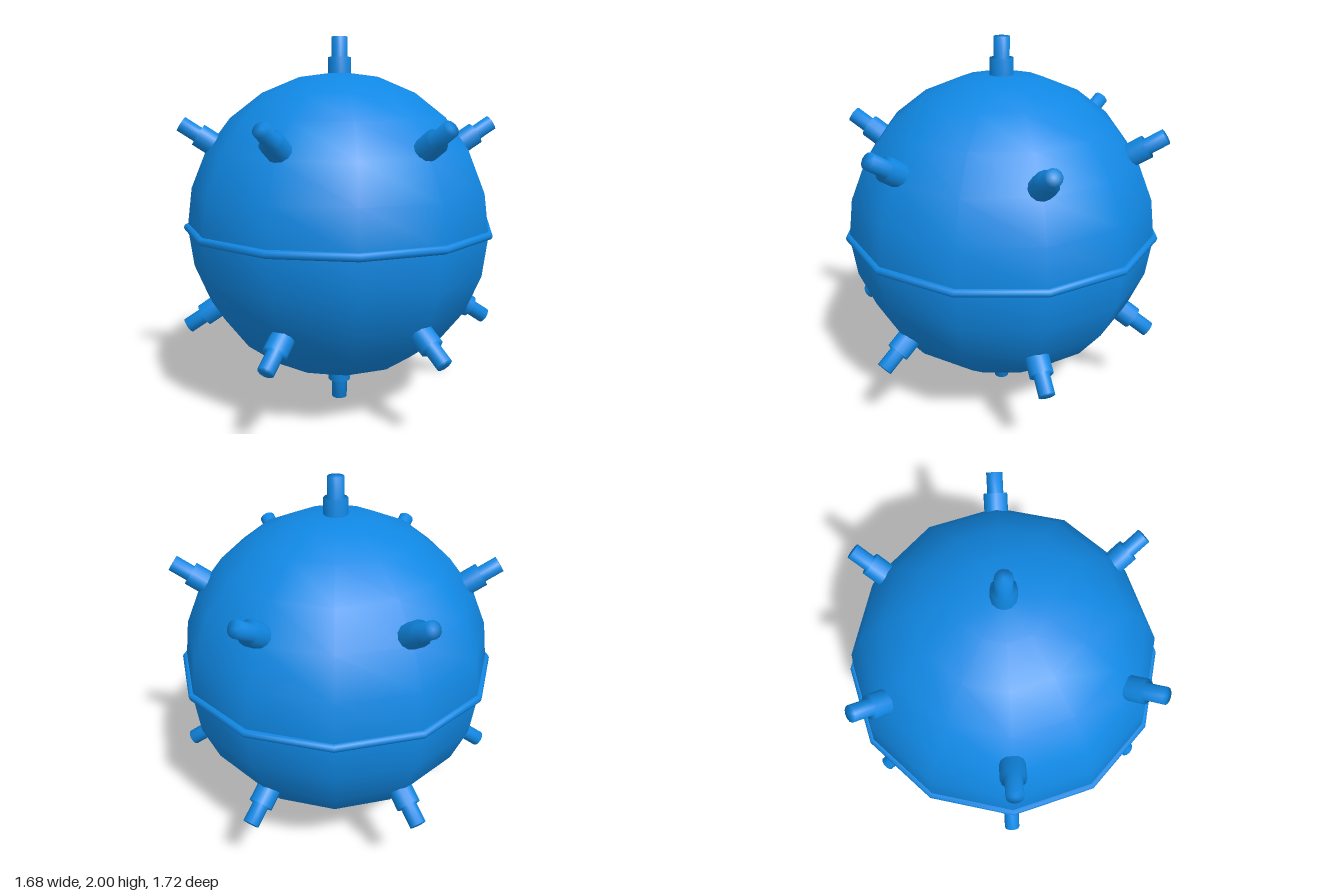
import * as THREE from 'three';

const BODY_RADIUS = 0.82;
const ELEVATION = THREE.MathUtils.degToRad(33.4);

export function createModel() {
  const model = new THREE.Group();
  model.name = 'spikedBall';
  const material = new THREE.MeshStandardMaterial({ color: 0x1088e4 });

  // Everything is built around the ball's centre, one unit above the ground
  const add = (geometry, name) => {
    const mesh = new THREE.Mesh(geometry, material);
    mesh.name = name;
    mesh.position.y = 1;
    model.add(mesh);
    return mesh;
  };

  // Ball and equator seam
  add(new THREE.SphereGeometry(BODY_RADIUS, 12, 12), 'body');
  add(new THREE.TorusGeometry(BODY_RADIUS, 0.021, 8, 12).rotateX(Math.PI / 2), 'seamRing');

  // Stepped prong: wide collar with a thinner pin, measured from the ball's centre
  const profile = [[0.062, 0.74], [0.062, 0.895], [0.042, 0.895], [0.042, 1], [0, 1]]
    .map(([r, y]) => new THREE.Vector2(r, y));
  const prongGeometry = new THREE.LatheGeometry(profile, 12);
  const up = new THREE.Vector3(0, 1, 0);
  const addProng = (direction, name) => {
    add(prongGeometry, name).quaternion.setFromUnitVectors(up, direction);
  };

  // Prongs at both poles and in a ring of six on each half
  for (const side of [1, -1]) {
    const half = side > 0 ? 'upper' : 'lower';
    addProng(new THREE.Vector3(0, side, 0), `${half}PoleProng`);
    for (let i = 0; i < 6; i++) {
      const azimuth = (i * Math.PI) / 3;
      const flat = Math.cos(ELEVATION);
      addProng(new THREE.Vector3(
        flat * Math.sin(azimuth), side * Math.sin(ELEVATION), flat * Math.cos(azimuth)
      ), `${half}Prong${i + 1}`);
    }
  }
  return model;
}
